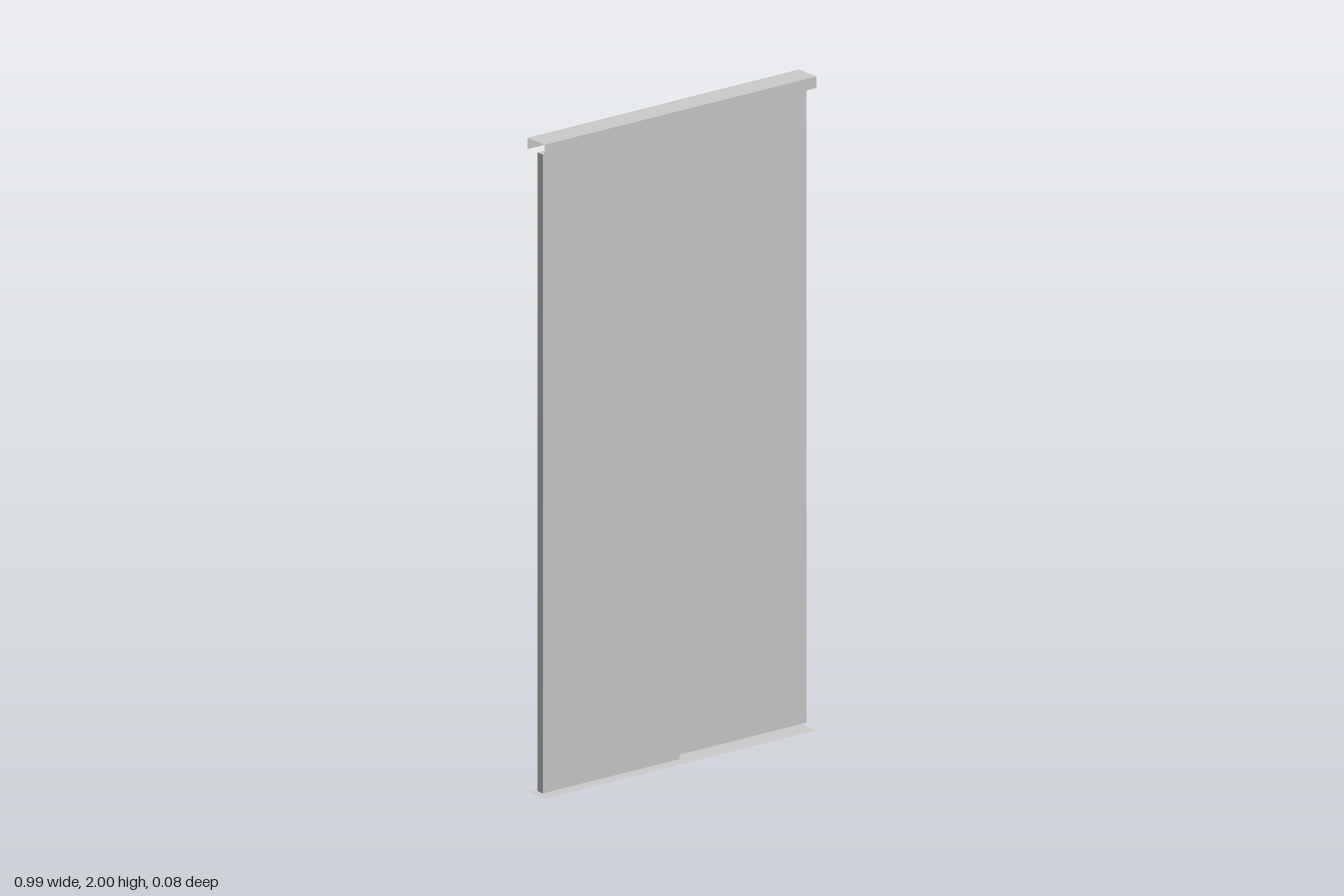
import * as THREE from 'three';

const HALF = 0.497, DEPTH = 0.04;   // track half length and half depth
const BOTTOM = 0.012, TOP = 1.966;  // door bottom and top

const metal = new THREE.MeshStandardMaterial({ color: 0xcccccc, flatShading: true });
const sheet = new THREE.MeshStandardMaterial({ color: 0xcccccc, flatShading: true, side: THREE.DoubleSide });

// Thin sheet, first built in the xy plane and then tilted about x
function addSheet(parent, name, height, y, z, tilt) {
  const mesh = new THREE.Mesh(new THREE.PlaneGeometry(HALF * 2, height), sheet);
  mesh.name = name;
  mesh.position.set(0, y, z);
  mesh.rotation.x = tilt;
  parent.add(mesh);
}

// Sliding door: a perimeter frame with a panel flush at the front and recessed at the back
function makeDoor(name, xMin, xMax, zBack, zFront) {
  const door = new THREE.Group();
  door.name = name;
  const rim = 0.013, depth = zFront - zBack, recess = 0.008;
  const rect = (Type, inset) => {
    const r = new Type();
    r.moveTo(xMin + inset, BOTTOM + inset);
    r.lineTo(xMax - inset, BOTTOM + inset);
    r.lineTo(xMax - inset, TOP - inset);
    r.lineTo(xMin + inset, TOP - inset);
    r.closePath();
    return r;
  };
  const outline = rect(THREE.Shape, 0);
  outline.holes.push(rect(THREE.Path, rim));
  const frame = new THREE.Mesh(new THREE.ExtrudeGeometry(outline, { depth, bevelEnabled: false }), metal);
  frame.name = 'doorFrame';
  frame.position.z = zBack;

  const panel = new THREE.Mesh(
    new THREE.BoxGeometry(xMax - xMin - rim * 2, TOP - BOTTOM - rim * 2, depth - recess), metal);
  panel.name = 'doorPanel';
  panel.position.set((xMin + xMax) / 2, (TOP + BOTTOM) / 2, (zBack + recess + zFront) / 2);
  door.add(frame, panel);
  return door;
}

export function createModel() {
  const model = new THREE.Group();
  model.name = 'slidingDoors';

  // Top track: open-ended channel facing down
  const track = new THREE.Group();
  track.name = 'topTrack';
  const lip = 0.035;
  addSheet(track, 'trackTop', DEPTH * 2, 2, 0, -Math.PI / 2);
  addSheet(track, 'trackFrontLip', lip, 2 - lip / 2, DEPTH, 0);
  addSheet(track, 'trackBackLip', lip, 2 - lip / 2, -DEPTH, Math.PI);
  model.add(track);

  // Floor plate
  addSheet(model, 'floorPlate', DEPTH * 2, 0, 0, -Math.PI / 2);

  // Two doors, one behind the other, overlapping slightly in the middle
  model.add(makeDoor('frontDoor', -0.494, 0.005, 0.003, 0.028));
  model.add(makeDoor('backDoor', -0.005, 0.494, -0.028, -0.003));

  return model;
}
